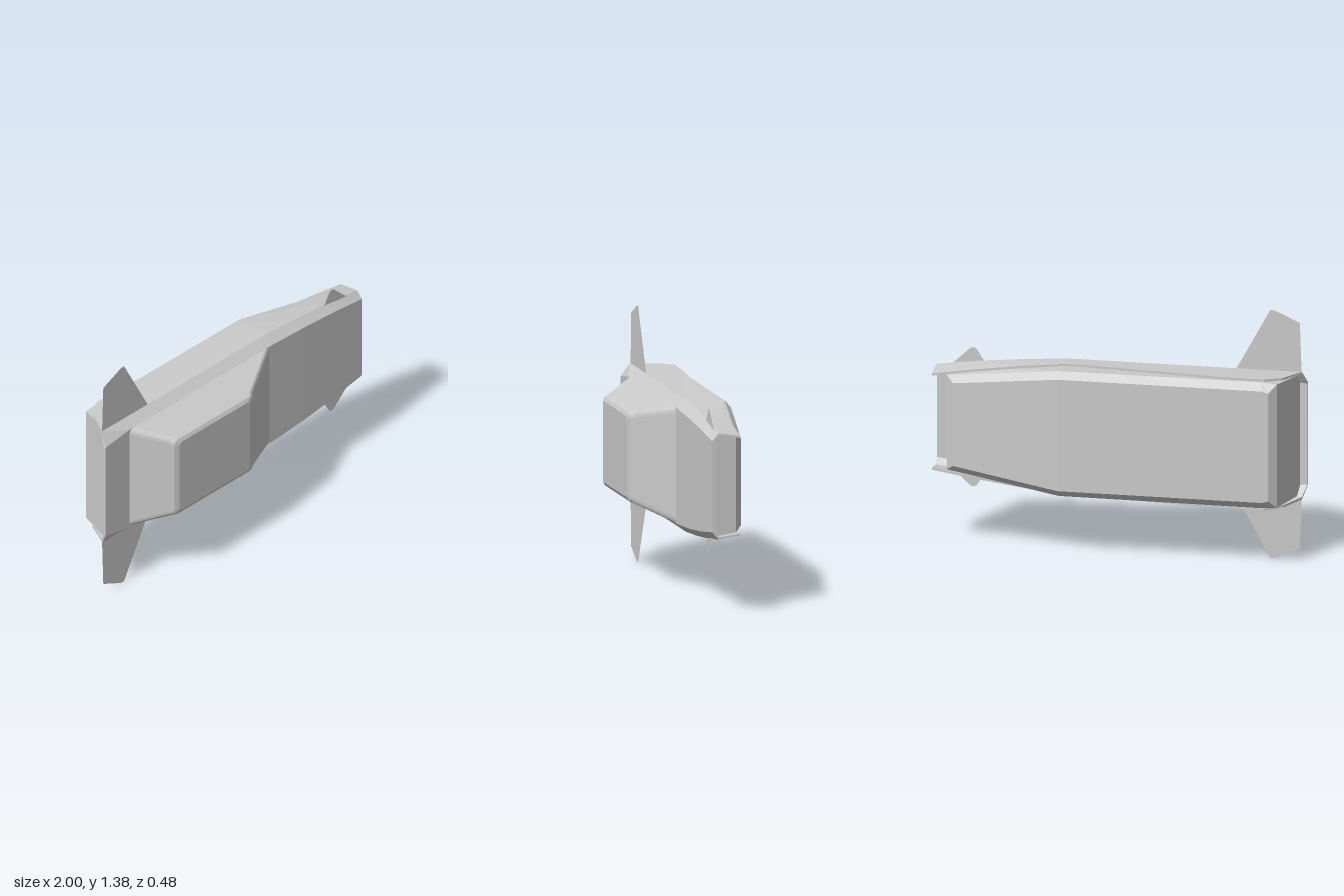
import * as THREE from 'three';

const MID = 0.69; // height of the mirror plane
const flat = () => new THREE.MeshStandardMaterial({ color: 0xcccccc, flatShading: true });

// Skin closed rings of [x, y, z] points and cap both ends
function loft(name, rows) {
  const pos = [];
  const n = rows[0].length;
  const quad = (a, b, c, d) => pos.push(...a, ...b, ...c, ...a, ...c, ...d);
  for (let r = 0; r < rows.length - 1; r++)
    for (let i = 0; i < n; i++) {
      const j = (i + 1) % n;
      quad(rows[r][i], rows[r][j], rows[r + 1][j], rows[r + 1][i]);
    }
  const first = rows[0], last = rows[rows.length - 1];
  for (let i = 0; i < n / 2 - 1; i++) {
    const k = n - 1 - i;
    quad(first[k], first[k - 1], first[i + 1], first[i]);
    quad(last[i], last[i + 1], last[k - 1], last[k]);
  }
  const geo = new THREE.BufferGeometry();
  geo.setAttribute('position', new THREE.Float32BufferAttribute(pos, 3));
  geo.computeVertexNormals();
  const mesh = new THREE.Mesh(geo, flat());
  mesh.name = name;
  return mesh;
}

// Half section points [x, halfHeight, z], ordered from the back to the front, then mirrored
const mirrored = (half) => [
  ...half.map(([x, v, z]) => [x, MID + v, z]),
  ...half.slice().reverse().map(([x, v, z]) => [x, MID - v, z]),
];

// Thin channel-shaped shell, open at the back
function shell() {
  const t = 0.012;
  const stations = [
    // rear edge, shoulder, front edge
    [[-0.9, 0.36, -0.14], [-0.975, 0.355, 0.005], [-1, 0.285, 0.05]],
    [[-0.81, 0.365, -0.2], [-0.83, 0.355, 0], [-0.82, 0.31, 0.05]],
    [[-0.6, 0.365, -0.2], [-0.6, 0.355, 0], [-0.6, 0.31, 0.05]],
    [[0.2, 0.365, -0.125], [0.2, 0.355, 0], [0.2, 0.31, 0.05]],
    [[0.29, 0.363, -0.125], [0.29, 0.355, 0], [0.29, 0.31, 0.05]],
    [[0.53, 0.337, -0.125], [0.53, 0.338, -0.002], [0.53, 0.297, 0.046]],
    [[0.77, 0.304, -0.125], [0.77, 0.315, -0.004], [0.77, 0.275, 0.039]],
    [[1, 0.268, -0.125], [1, 0.285, -0.005], [1, 0.245, 0.03]],
  ];
  return loft('outerShell', stations.map(([rear, shoulder, front]) => {
    const outer = mirrored([rear, shoulder, front]);
    const inner = mirrored([
      [rear[0], rear[1] - t, rear[2]],
      [shoulder[0], shoulder[1] - t, shoulder[2] - 0.004],
      [front[0], front[1] - 0.005, front[2] - t],
    ]);
    return [...outer, ...inner.reverse()];
  }));
}

// Inner body with a chamfered back that slopes toward the narrow end
function body() {
  return loft('innerBody', [
    [[-0.84, 0.3, -0.24], [-0.88, 0.343, -0.205], [-0.95, 0.335, -0.005], [-0.96, 0.285, 0.032]],
    [[-0.8, 0.31, -0.24], [-0.8, 0.35, -0.205], [-0.8, 0.337, -0.005], [-0.8, 0.295, 0.032]],
    [[0.3, 0.31, -0.24], [0.3, 0.347, -0.205], [0.3, 0.337, -0.005], [0.3, 0.295, 0.032]],
    [[0.88, 0.23, -0.157], [0.92, 0.262, -0.12], [0.93, 0.278, -0.008], [0.93, 0.24, 0.018]],
  ].map(mirrored));
}

// Rounded rectangle ring at depth z
function roundedRing(x0, x1, v, radius, z) {
  const ring = [];
  const corners = [[x1, v, 0], [x0, v, 1], [x0, -v, 2], [x1, -v, 3]];
  for (const [x, y, q] of corners) {
    const cx = x - Math.sign(x === x1 ? 1 : -1) * radius;
    const cy = y - Math.sign(y) * radius;
    for (let s = 0; s <= 3; s++) {
      const a = (q + s / 3) * Math.PI / 2;
      ring.push([cx + radius * Math.cos(a), MID + cy + radius * Math.sin(a), z]);
    }
  }
  return ring;
}

// Raised housing on the front with softened edges
function housing() {
  return loft('frontHousing', [
    roundedRing(-0.82, 0.275, 0.312, 0.03, 0.045),
    roundedRing(-0.668, -0.025, 0.247, 0.03, 0.205),
    roundedRing(-0.652, -0.048, 0.238, 0.028, 0.225),
    roundedRing(-0.625, -0.08, 0.218, 0.02, 0.236),
  ]);
}

// Thin flat fin, one on each edge
function finPair(name, outline) {
  const pair = new THREE.Group();
  pair.name = name + 's';
  for (const side of [1, -1]) {
    const shape = new THREE.Shape(outline.map(([x, v]) => new THREE.Vector2(x, MID + side * v)));
    const material = flat();
    material.side = THREE.DoubleSide;
    const fin = new THREE.Mesh(new THREE.ShapeGeometry(shape), material);
    fin.name = name;
    pair.add(fin);
  }
  return pair;
}

export function createModel() {
  const model = new THREE.Group();
  model.name = 'finnedPod';
  model.add(
    shell(),
    body(),
    housing(),
    finPair('largeFin', [[-0.975, 0.34], [-0.965, 0.628], [-0.83, 0.688], [-0.805, 0.69], [-0.62, 0.35]]),
    finPair('smallFin', [[0.74, 0.31], [0.78, 0.378], [0.795, 0.388], [0.815, 0.383], [0.915, 0.29]]),
  );
  return model;
}
